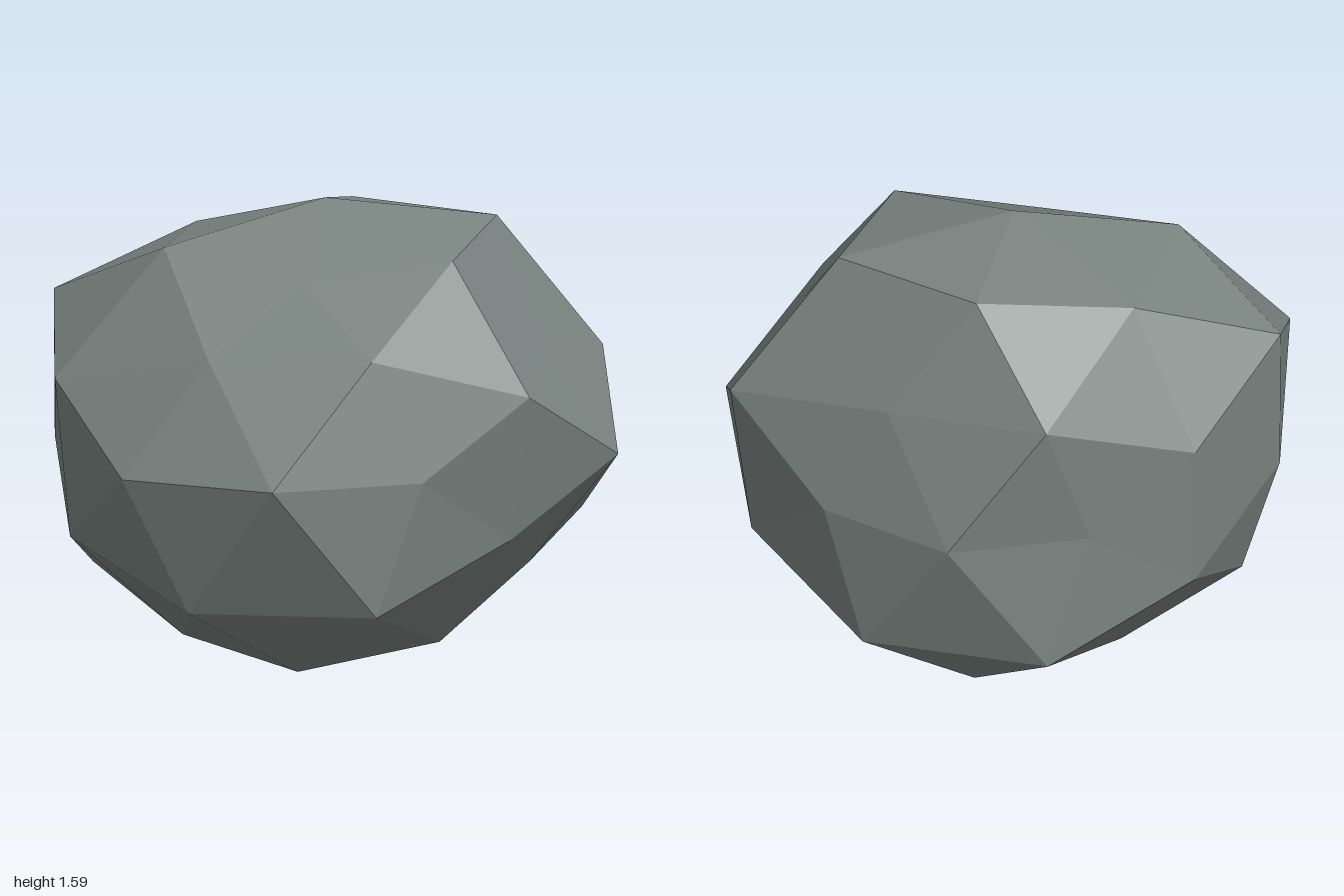
import * as THREE from 'three';

// Radius of each corner, grouped by the (rounded, x10) size of its direction.
// Within a group the order runs over the signs of the non-zero axes: + before -, last axis fastest.
const RADII = {
  '10,0,0': [0.945, 0.873],
  '0,10,0': [0.91, 0.82],
  '0,0,10': [0.99, 0.9],
  '0,9,5': [0.79, 0.965, 0.975, 1.01],
  '5,0,9': [0.83, 0.85, 0.975, 0.79],
  '9,5,0': [0.81, 0.775, 1.03, 0.88],
  '5,8,3': [0.92, 1.0, 0.825, 0.79, 0.94, 0.93, 0.83, 0.83],
  '3,5,8': [0.885, 0.82, 0.975, 0.98, 0.84, 0.945, 0.985, 0.98],
  '8,3,5': [0.912, 1.0, 0.825, 0.925, 0.975, 0.866, 0.92, 0.865],
};
const STRETCH = new THREE.Vector3(1.1, 0.96, 1);
const CENTRE = new THREE.Vector3(-0.04, 0.717, -0.043);

function radiusOf(dir) {
  const c = dir.toArray();
  const key = c.map((v) => Math.round(Math.abs(v) * 10)).join(',');
  const index = c
    .filter((v) => Math.abs(v) > 0.01)
    .reduce((n, v) => n * 2 + (v < 0 ? 1 : 0), 0);
  return RADII[key][index];
}

export function createModel() {
  const group = new THREE.Group();
  group.name = 'rock';

  const stone = new THREE.MeshStandardMaterial({ color: 0x78827f, flatShading: true });
  stone.name = 'greyStone';

  // Faceted ball, each corner pushed in or out, flattened where it rests on the ground
  const geometry = new THREE.IcosahedronGeometry(1, 1).rotateY(Math.PI / 2);
  const pos = geometry.attributes.position;
  const p = new THREE.Vector3();
  for (let i = 0; i < pos.count; i++) {
    p.fromBufferAttribute(pos, i).normalize();
    p.multiplyScalar(radiusOf(p)).multiply(STRETCH).add(CENTRE);
    pos.setXYZ(i, p.x, Math.max(p.y, 0), p.z);
  }
  geometry.computeVertexNormals();

  const boulder = new THREE.Mesh(geometry, stone);
  boulder.name = 'boulder';
  group.add(boulder);
  return group;
}
